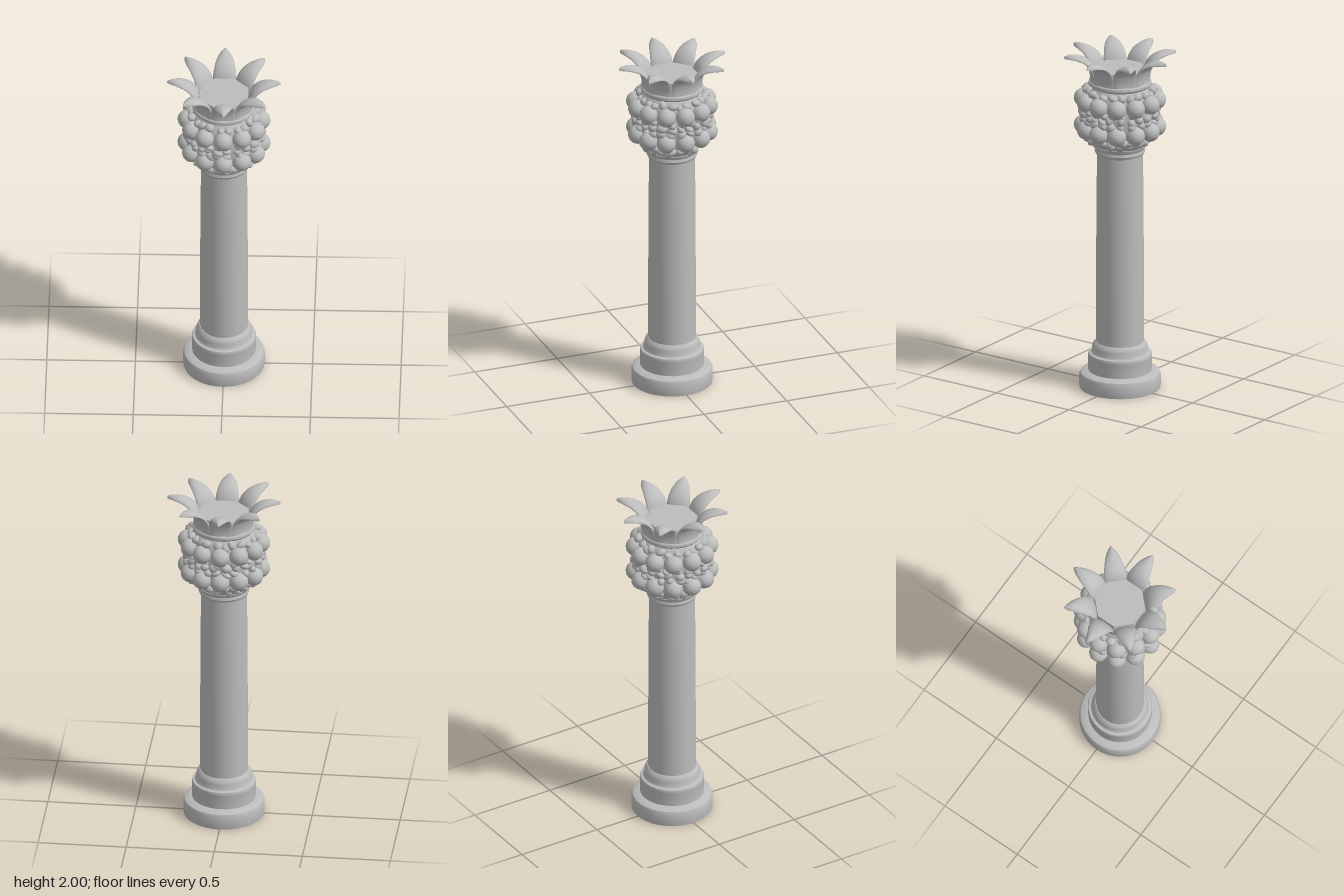
import * as THREE from 'three';
import { toCreasedNormals } from 'three/addons/utils/BufferGeometryUtils.js';

const stone = new THREE.MeshStandardMaterial({ color: 0xbcbcbc });
stone.name = 'stone';

function add(parent, name, geometry) {
  const mesh = new THREE.Mesh(geometry, stone);
  mesh.name = name;
  parent.add(mesh);
  return mesh;
}

function lathe(profile, segments = 40) {
  const points = profile.map(([r, y]) => new THREE.Vector2(r, y));
  return toCreasedNormals(new THREE.LatheGeometry(points, segments), 0.6);
}

// Small seeded generator for the irregular filler bumps
let seed = 7;
function random() {
  seed = (seed * 16807) % 2147483647;
  return seed / 2147483647;
}

// Leaf: lens-shaped cross-sections swept up and outward, pointing along +z
function leafGeometry() {
  const spine = new THREE.CatmullRomCurve3([
    [0.15, 1.82], [0.152, 1.87], [0.17, 1.925], [0.21, 1.965], [0.265, 1.985], [0.32, 1.988],
  ].map(([z, y]) => new THREE.Vector3(0, y, z)));
  const rows = 18, sides = 16, positions = [], index = [];
  for (let i = 0; i <= rows; i++) {
    const t = i / rows;
    const p = spine.getPoint(t), d = spine.getTangent(t);
    const tip = Math.sqrt(Math.max(0, 1 - t ** 8));
    const width = Math.max(0.001, (0.07 - 0.05 * t ** 2.2) * tip);
    const thick = Math.max(0.001, (0.02 - 0.009 * t) * tip);
    for (let j = 0; j < sides; j++) {
      const a = (j / sides) * Math.PI * 2;
      const across = Math.cos(a);
      const off = Math.sin(a) * thick - 0.014 * t * across * across;
      positions.push(across * width, p.y + off * d.z, p.z - off * d.y);
      if (i < rows) {
        const k = (j + 1) % sides, n = i * sides;
        index.push(n + j, n + sides + j, n + k, n + k, n + sides + j, n + sides + k);
      }
    }
  }
  // Close both ends
  for (let j = 1; j < sides - 1; j++) {
    const n = rows * sides;
    index.push(0, j, j + 1, n, n + j + 1, n + j);
  }
  const g = new THREE.BufferGeometry();
  g.setAttribute('position', new THREE.Float32BufferAttribute(positions, 3));
  // Ring order runs opposite to the outward side, so flip each triangle
  const p = g.attributes.position;
  const v = (i) => new THREE.Vector3().fromBufferAttribute(p, i);
  const mid = Math.floor(rows / 2) * sides, q = sides / 4;
  const outward = v(mid + q).sub(v(mid + 3 * q));
  const first = v(mid + sides + q).sub(v(mid + q)).cross(v(mid + q + 1).sub(v(mid + q)));
  if (first.dot(outward) < 0) index.reverse();
  g.setIndex(index);
  g.computeVertexNormals();
  return g;
}

export function createModel() {
  const model = new THREE.Group();
  model.name = 'column';

  // Stepped, moulded base
  add(model, 'base', lathe([
    [0, 0], [0.228, 0], [0.23, 0.01], [0.23, 0.075], [0.224, 0.09], [0.205, 0.1], [0.18, 0.104],
    [0.18, 0.185], [0.182, 0.195], [0.178, 0.206], [0.163, 0.21], [0.156, 0.222],
    [0.157, 0.245], [0.15, 0.262], [0.138, 0.275], [0.12, 0.275],
  ]));

  // Plain shaft
  add(model, 'shaft', lathe([[0.135, 0.26], [0.134, 0.9], [0.13, 1.41]]));

  // Neck ring under the capital
  add(model, 'neckRing', lathe([
    [0.125, 1.392], [0.138, 1.398], [0.144, 1.412], [0.14, 1.428], [0.146, 1.438], [0.15, 1.45], [0.12, 1.46],
  ]));

  // Rounded core carrying the berries
  add(model, 'capitalCore', lathe([
    [0.13, 1.435], [0.155, 1.46], [0.185, 1.5], [0.2, 1.55], [0.205, 1.64],
    [0.2, 1.73], [0.185, 1.78], [0.165, 1.805], [0.14, 1.81],
  ]));

  // Two rings of berries
  const berries = new THREE.Group();
  berries.name = 'berries';
  model.add(berries);
  const ball = new THREE.SphereGeometry(1, 20, 14);
  for (const y of [1.56, 1.72]) {
    for (let i = 0; i < 12; i++) {
      const a = (i / 12) * Math.PI * 2;
      const berry = add(berries, 'berry', ball);
      berry.position.set(Math.sin(a) * 0.208, y, Math.cos(a) * 0.208);
      berry.scale.setScalar(0.054);
    }
  }

  // Uneven carved foliage between and around the berry rings
  const foliage = new THREE.Group();
  foliage.name = 'foliage';
  model.add(foliage);
  const lump = new THREE.SphereGeometry(1, 10, 8);
  for (const [y, radius, size, count] of [
    [1.475, 0.155, 0.023, 16], [1.505, 0.182, 0.025, 24], [1.61, 0.21, 0.024, 24],
    [1.645, 0.208, 0.026, 24], [1.675, 0.208, 0.022, 24], [1.775, 0.185, 0.026, 24],
  ]) {
    for (let i = 0; i < count; i++) {
      const a = ((i + 0.5 + (random() - 0.5) * 0.5) / count) * Math.PI * 2;
      const r = radius + (random() - 0.5) * 0.014;
      const bump = add(foliage, 'foliageLump', lump);
      bump.position.set(Math.sin(a) * r, y + (random() - 0.5) * 0.02, Math.cos(a) * r);
      bump.scale.set(size * (0.8 + random() * 0.5), size * (0.7 + random() * 0.4), size);
      bump.rotation.set(0, a, (random() - 0.5) * 1.4, 'YXZ');
    }
  }

  // Collar above the berries
  add(model, 'collar', lathe([
    [0.14, 1.798], [0.168, 1.802], [0.178, 1.814], [0.177, 1.828], [0.168, 1.838], [0.13, 1.842],
  ]));

  // Eight-sided block closing the crown between the leaves
  const cup = new THREE.CylinderGeometry(0.146, 0.155, 0.09, 8).toNonIndexed();
  cup.rotateY(Math.PI / 8);
  cup.translate(0, 1.86, 0);
  cup.computeVertexNormals();
  add(model, 'crownFloor', cup);

  // Crown of eight spreading leaves
  const crown = new THREE.Group();
  crown.name = 'leafCrown';
  model.add(crown);
  const leaf = leafGeometry();
  for (let i = 0; i < 8; i++) {
    add(crown, 'leaf', leaf).rotation.y = (i / 8) * Math.PI * 2;
  }

  return model;
}
